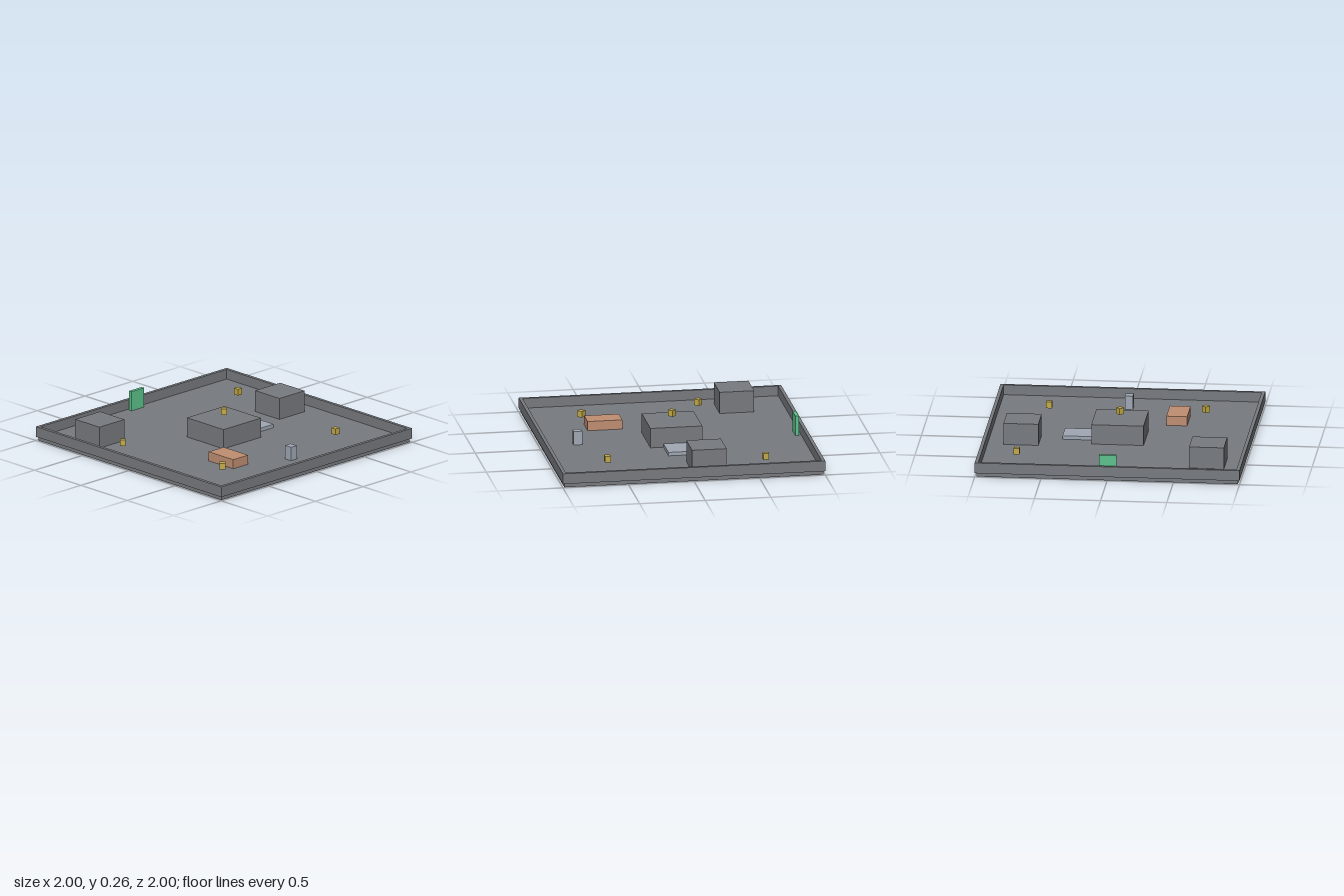
import * as THREE from 'three';

const mat = (name, hex) => {
  const m = new THREE.MeshStandardMaterial({ color: hex });
  m.name = name;
  return m;
};

export function createModel() {
  const root = new THREE.Group();
  root.name = 'arena';
  const grey = mat('grey', 0x777a7f);
  const gold = mat('gold', 0xc2aa48);
  const green = mat('green', 0x5cc28c);
  const clay = mat('clay', 0xc08e72);
  const paleBlue = mat('paleBlue', 0xa0a8b5);
  const FLOOR = 0.034;

  // Box given by its base height, centre and size
  const block = (name, material, [w, h, d], [x, y, z], turn = 0) => {
    const mesh = new THREE.Mesh(new THREE.BoxGeometry(w, h, d), material);
    mesh.name = name;
    mesh.position.set(x, y + h / 2, z);
    mesh.rotation.y = turn;
    root.add(mesh);
  };

  // Floor slab
  block('floor', grey, [1.974, FLOOR, 1.974], [0, 0, 0]);

  // Perimeter wall, a square frame
  const outline = new THREE.Shape([[-1, -1], [1, -1], [1, 1], [-1, 1]].map(([x, y]) => new THREE.Vector2(x, y)));
  const r = 0.974;
  outline.holes.push(new THREE.Path([[-r, -r], [-r, r], [r, r], [r, -r]].map(([x, y]) => new THREE.Vector2(x, y))));
  const wallGeometry = new THREE.ExtrudeGeometry(outline, { depth: 0.08, bevelEnabled: false });
  wallGeometry.rotateX(-Math.PI / 2);
  const wall = new THREE.Mesh(wallGeometry, grey);
  wall.name = 'perimeterWall';
  wall.position.y = 0.03;
  root.add(wall);

  // Central platform and two taller blocks
  block('centralPlatform', grey, [0.395, 0.152, 0.395], [0, FLOOR, 0]);
  block('backBlock', grey, [0.263, 0.166, 0.263], [-0.724, FLOOR, -0.595]);
  block('sideBlock', grey, [0.263, 0.166, 0.263], [0.722, FLOOR, -0.141]);

  // Coloured furniture
  block('step', paleBlue, [0.227, 0.027, 0.197], [0.311, FLOOR, 0]);
  block('crate', clay, [0.157, 0.072, 0.264], [-0.397, FLOOR, 0.457]);
  block('startPost', paleBlue, [0.06, 0.106, 0.066], [0, FLOOR, 0.722]);
  block('exitPanel', green, [0.132, 0.152, 0.027], [0, FLOOR, -0.943]);

  // Hovering pickup cubes, some turned by an eighth
  const eighth = Math.PI / 4;
  [
    [0, 0.217, 0, eighth],
    [-0.745, 0.064, -0.325, eighth],
    [-0.592, 0.064, 0.592, eighth],
    [0.592, 0.064, 0.592, 0],
    [0.722, 0.064, -0.592, 0],
  ].forEach(([x, y, z, turn]) => block('pickup', gold, [0.044, 0.048, 0.044], [x, y, z], turn));

  return root;
}
